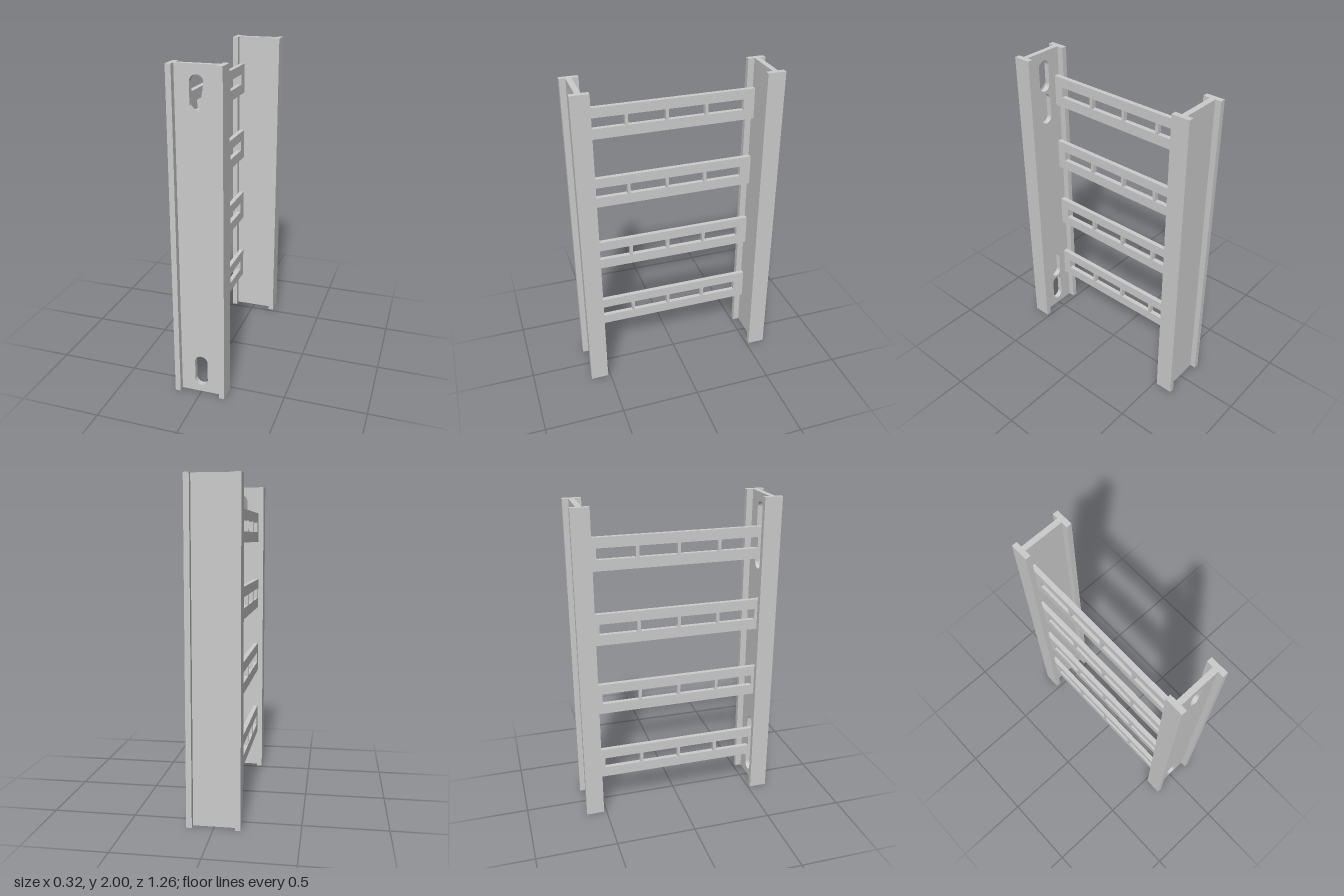
import * as THREE from 'three';

const H = 2, FLANGE_X = 0.125, HALF_W = 0.158;
const WEB_IN = 0.558, WEB_OUT = 0.592;
const SLOT_R = 0.04, SLOT_H = 0.2;
const material = new THREE.MeshStandardMaterial({ color: 0xcccccc, side: THREE.DoubleSide });

function mesh(name, geometry) {
  const m = new THREE.Mesh(geometry, material);
  m.name = name;
  return m;
}

function rectangle(x0, y0, x1, y1, Type = THREE.Shape) {
  const s = new Type();
  s.moveTo(x0, y0);
  s.lineTo(x1, y0);
  s.lineTo(x1, y1);
  s.lineTo(x0, y1);
  s.closePath();
  return s;
}

// Upright slot with round ends; y is its lower end
function slot(y, Type = THREE.Shape) {
  const s = new Type();
  s.absarc(0, y + SLOT_H - SLOT_R, SLOT_R, 0, Math.PI, false);
  s.absarc(0, y + SLOT_R, SLOT_R, Math.PI, Math.PI * 2, false);
  s.closePath();
  return s;
}

// Slivers that narrow the top slot to a teardrop on the outer face
function teardropCover(y) {
  const a = Math.PI * 1.62, cy = y + SLOT_R, shoulder = y + SLOT_H - SLOT_R;
  const left = new THREE.Shape();
  left.moveTo(-SLOT_R, shoulder);
  left.absarc(0, cy, SLOT_R, Math.PI, a, false);
  left.closePath();
  const right = new THREE.Shape();
  right.absarc(0, cy, SLOT_R, a, Math.PI * 2, false);
  right.lineTo(SLOT_R, shoulder);
  right.closePath();
  return [left, right];
}

// I-section rail, outer side facing +z
function rail(name, slots) {
  const g = new THREE.Group();
  g.name = name;
  const web = rectangle(-FLANGE_X, 0, FLANGE_X, H);
  for (const y of slots) web.holes.push(slot(y, THREE.Path));
  const webGeometry = new THREE.ExtrudeGeometry(web, { depth: WEB_OUT - WEB_IN, bevelEnabled: false, curveSegments: 12 });
  webGeometry.translate(0, 0, WEB_IN);
  g.add(mesh('web', webGeometry));
  for (const side of [-1, 1]) {
    const flange = mesh(side > 0 ? 'leftFlange' : 'rightFlange', new THREE.BoxGeometry(HALF_W - FLANGE_X, H, 0.112));
    flange.position.set(side * (HALF_W + FLANGE_X) / 2, H / 2, 0.573);
    g.add(flange);
  }
  return g;
}

// Perforated rung, drawn in the z-y plane
function rungGeometry() {
  const s = rectangle(-WEB_IN, 0, WEB_IN, 0.197);
  for (let i = 0; i < 4; i++) {
    const z = 0.5 - i * 0.2515;
    s.holes.push(rectangle(z - 0.232, 0.066, z, 0.134, THREE.Path));
  }
  const g = new THREE.ExtrudeGeometry(s, { depth: 0.03, bevelEnabled: false });
  g.rotateY(-Math.PI / 2);
  g.translate(-0.09, 0, 0);
  return g;
}

export function createModel() {
  const model = new THREE.Group();
  model.name = 'ladderSection';

  // Front rail: four slots, the inner pair closed on the outer face
  const front = rail('frontRail', [0.045, 0.26, 1.525, 1.745]);
  const covers = [slot(0.26), slot(1.525), ...teardropCover(1.745)];
  const cover = mesh('slotCovers', new THREE.ShapeGeometry(covers, 12));
  cover.position.z = WEB_OUT;
  front.add(cover);
  model.add(front);

  // Plain back rail
  const back = rail('backRail', []);
  back.rotation.y = Math.PI;
  model.add(back);

  // Rungs
  const geometry = rungGeometry();
  for (let i = 0; i < 4; i++) {
    const rung = mesh('rung' + (i + 1), geometry);
    rung.position.y = 0.247 + i * 0.459;
    model.add(rung);
  }
  return model;
}
